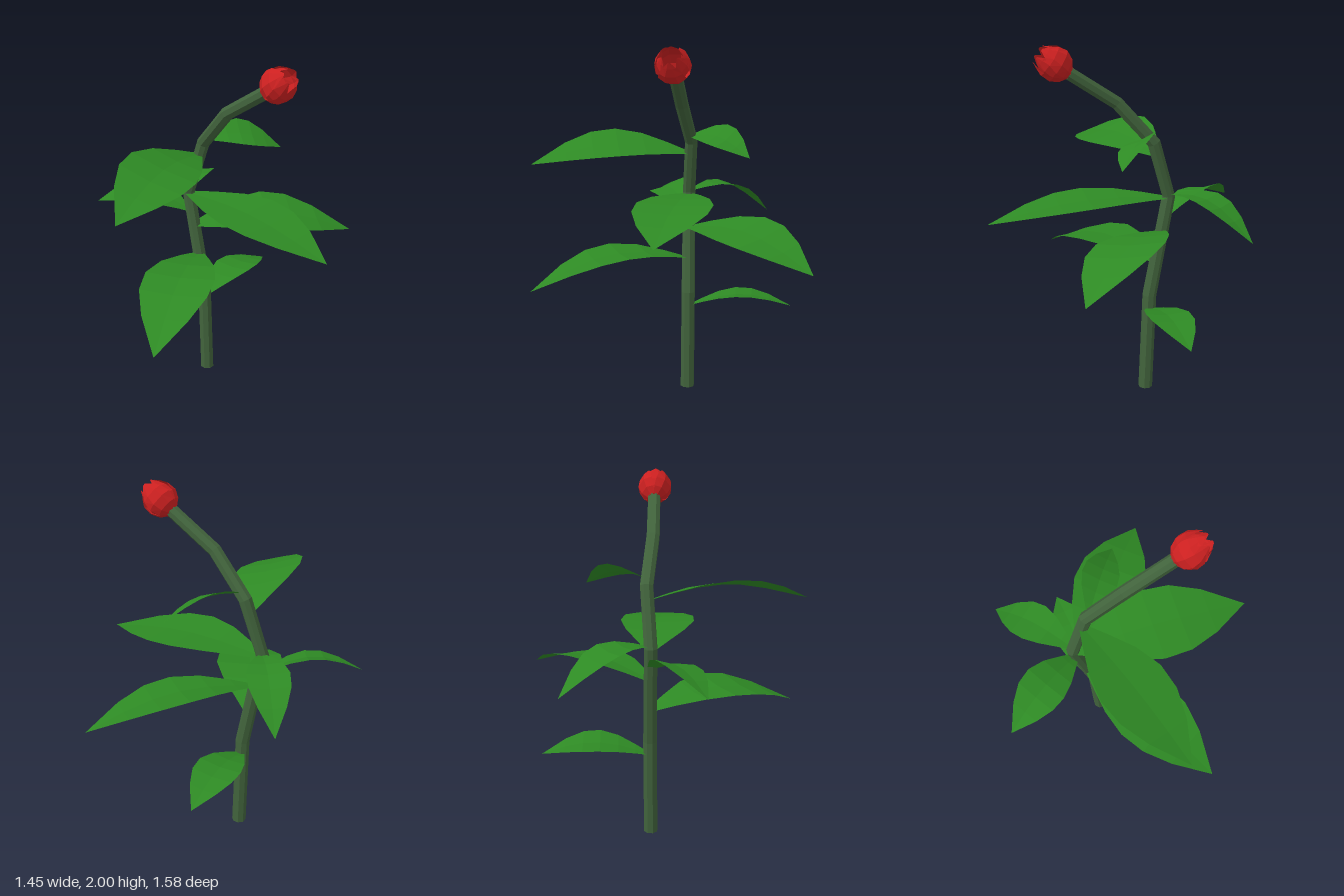
import * as THREE from 'three';

const V = (x, y, z) => new THREE.Vector3(x, y, z);
const UP = V(0, 1, 0);

// Faceted surface through rows of points
function sheet(rows) {
  const pts = [];
  for (let i = 0; i < rows.length - 1; i++) {
    for (let j = 0; j < rows[i].length - 1; j++) {
      const a = rows[i][j], b = rows[i][j + 1], c = rows[i + 1][j], d = rows[i + 1][j + 1];
      pts.push(a, b, c, b, d, c);
    }
  }
  const g = new THREE.BufferGeometry().setFromPoints(pts);
  g.computeVertexNormals();
  return g;
}

// Leaf outline: position along the length, half width as a share of the length
const OUTLINE = [[0, 0.03], [0.12, 0.09], [0.28, 0.165], [0.45, 0.21], [0.61, 0.2], [0.78, 0.135], [1, 0]];

// Arched leaf from base to tip; roll lifts its right edge, seen from the stem
function leafGeometry(base, tip, arch, roll) {
  const along = tip.clone().sub(base).setY(0);
  const length = along.length();
  const side = along.normalize().cross(UP);
  return sheet(OUTLINE.map(([t, w]) => {
    const mid = base.clone().lerp(tip, t);
    mid.y += arch * Math.sin(Math.PI * t);
    return [-1, 0, 1].map(s => {
      const p = mid.clone().addScaledVector(side, s * w * length);
      p.y += (s * roll + Math.abs(s) * 0.012) * w / 0.21;
      return p;
    });
  }));
}

// Eight-sided stem, with rings square to the path
function stemGeometry(path, radii) {
  return sheet(path.map((c, i) => {
    const t = path[Math.min(i + 1, path.length - 1)].clone().sub(path[Math.max(i - 1, 0)]).normalize();
    if (i === 0) t.copy(UP);
    const u = V(0, 0, 1).cross(t).normalize();
    const v = t.clone().cross(u);
    return Array.from({ length: 9 }, (_, k) => {
      const a = (k % 8 + 0.5) / 8 * Math.PI * 2;
      return c.clone().addScaledVector(u, Math.cos(a) * radii[i]).addScaledVector(v, Math.sin(a) * radii[i]);
    });
  }));
}

// Petal: height, radius and half angle at each row
const PETAL = [[0, 0.03, 1.1], [0.03, 0.07, 1.0], [0.075, 0.093, 0.9], [0.125, 0.089, 0.75], [0.165, 0.068, 0.5], [0.195, 0.05, 0.12]];

function petalGeometry(scale) {
  return sheet(PETAL.map(([h, r, half]) => [1, 0.4, -0.4, -1].map(s =>
    V(Math.cos(s * half) * r * scale, h, Math.sin(s * half) * r * scale))));
}

export function createModel() {
  const model = new THREE.Group();
  const stemMat = new THREE.MeshStandardMaterial({ name: 'stem green', color: 0x41633c });
  const leafMat = new THREE.MeshStandardMaterial({ name: 'leaf green', color: 0x2e8a24, side: THREE.DoubleSide });
  const redMat = new THREE.MeshStandardMaterial({ name: 'flower red', color: 0xcc2020, side: THREE.DoubleSide });
  const add = (parent, name, geometry, material) => {
    const mesh = new THREE.Mesh(geometry, material);
    mesh.name = name;
    parent.add(mesh);
    return mesh;
  };

  // Bent stem with a red cut end
  const path = [V(-0.16, 0, -0.06), V(-0.178, 0.58, -0.06), V(-0.285, 1.16, -0.045),
    V(-0.19, 1.47, -0.072), V(0.01, 1.69, -0.052), V(0.28, 1.865, -0.065)];
  add(model, 'stem', stemGeometry(path, [0.041, 0.04, 0.037, 0.037, 0.037, 0.036]), stemMat);
  const cut = add(model, 'stemCutEnd', new THREE.CircleGeometry(0.041, 8, Math.PI / 8), redMat);
  cut.rotation.x = Math.PI / 2;
  cut.position.copy(path[0]);

  // Leaves: base, tip, arch, roll
  const leaves = new THREE.Group();
  leaves.name = 'leaves';
  model.add(leaves);
  [
    ['upperFrontLeaf', V(-0.21, 1.4, -0.05), V(0.08, 1.35, 0.79), 0.08, 0.055],
    ['lowerFrontLeaf', V(-0.21, 0.78, -0.05), V(0.27, 0.67, 0.75), 0.115, 0],
    ['leftLeaf', V(-0.28, 1.15, -0.045), V(0.72, 1.06, -0.04), 0.055, 0],
    ['largeBackLeaf', V(-0.24, 0.96, -0.05), V(0.33, 0.86, -0.79), 0.095, -0.035],
    ['lowerBackLeaf', V(-0.18, 0.5, -0.07), V(-0.24, 0.51, -0.66), 0.07, 0.008],
    ['upperBackLeaf', V(-0.17, 1.5, -0.07), V(0.07, 1.415, -0.43), 0.055, -0.045],
    ['rightBackLeaf', V(-0.29, 1.17, -0.06), V(-0.62, 1.0, -0.48), 0.095, 0],
    ['rightFrontLeaf', V(-0.27, 1.04, -0.05), V(-0.73, 1.06, 0.265), 0.095, 0.035],
  ].forEach(([name, ...shape]) => add(leaves, name, leafGeometry(...shape), leafMat));

  // Closed flower bud: an outer and an inner ring of three petals
  const bud = new THREE.Group();
  bud.name = 'flowerBud';
  bud.position.set(0.262, 1.853, -0.065);
  bud.quaternion.setFromUnitVectors(UP, V(0.83, 0.56, 0).normalize());
  model.add(bud);
  for (let i = 0; i < 6; i++) {
    const petal = add(bud, 'petal', petalGeometry(i % 2 ? 0.88 : 1), redMat);
    petal.rotation.y = i * Math.PI / 3;
  }
  const floor = add(bud, 'budBase', new THREE.CircleGeometry(0.036, 8), redMat);
  floor.rotation.x = Math.PI / 2;
  return model;
}
